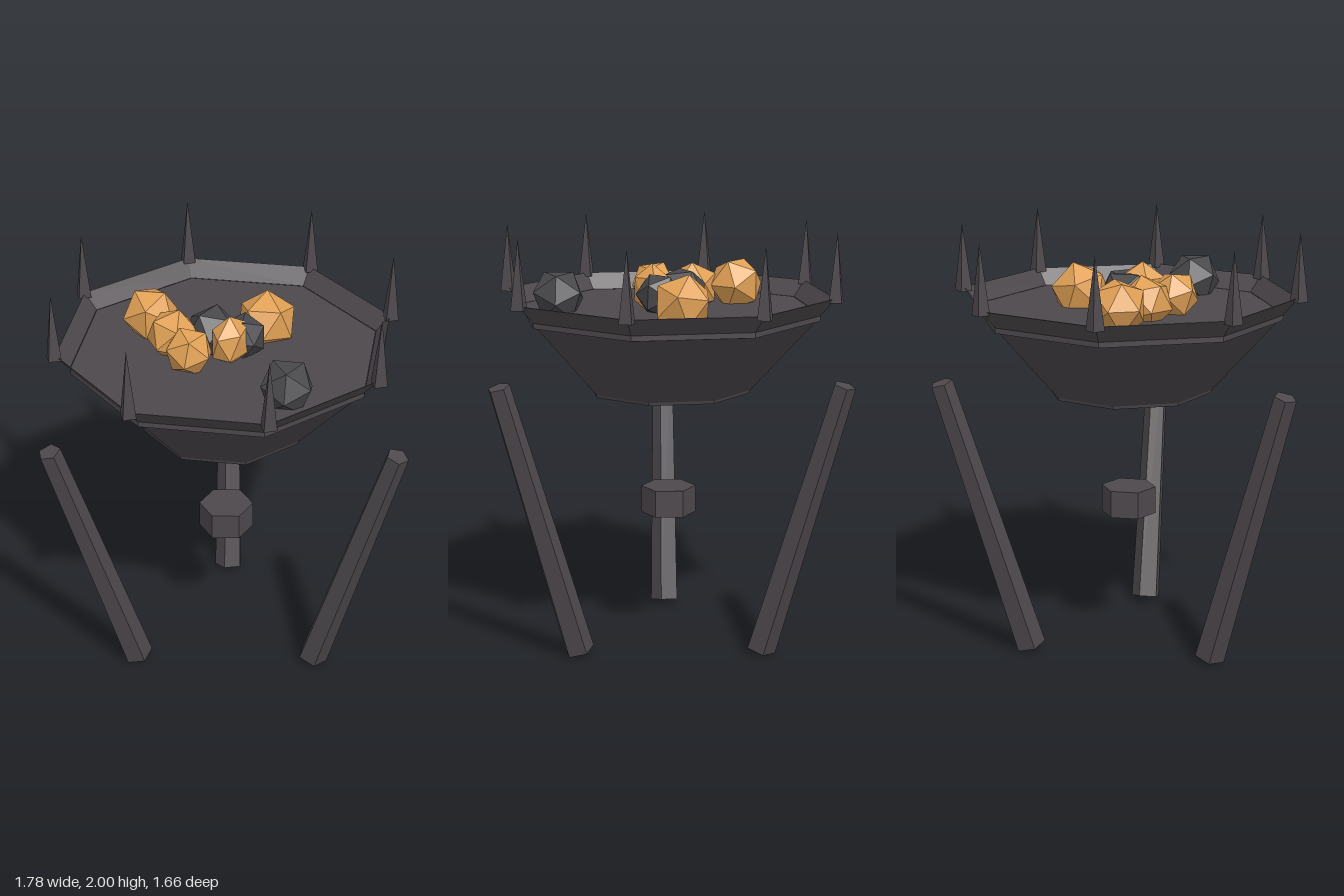
import * as THREE from 'three';

export function createModel() {
  const model = new THREE.Group();
  const mat = (name, color) => new THREE.MeshStandardMaterial({ name, color, flatShading: true });
  const iron = mat('dark iron', 0x4d484c);
  const coalGrey = mat('coal grey', 0x48474a);
  const emberOrange = mat('ember orange', 0xe0a055);

  const add = (parent, name, geometry, material, x = 0, y = 0, z = 0) => {
    const mesh = new THREE.Mesh(geometry, material);
    mesh.name = name;
    mesh.position.set(x, y, z);
    parent.add(mesh);
    return mesh;
  };
  // Eight-sided turned shape from [radius, y] pairs
  const turned = (pairs) => new THREE.LatheGeometry(pairs.map(([r, y]) => new THREE.Vector2(r, y)), 8);

  // Everything but the coals is arranged around the bowl's axis
  const brazier = new THREE.Group();
  brazier.name = 'brazier';
  brazier.position.x = -0.06;
  model.add(brazier);

  // Bowl, band with the fire bed on top, and flared rim
  add(brazier, 'bowl', turned([[0, 1.235], [0.39, 1.235], [0.395, 1.25], [0.7, 1.59]]), iron);
  add(brazier, 'bandAndFireBed', turned([[0.68, 1.59], [0.72, 1.59], [0.72, 1.62], [0, 1.62]]), iron);
  add(brazier, 'rim', turned([[0.72, 1.615], [0.787, 1.695], [0.785, 1.697], [0.722, 1.62]]), iron);

  // Spikes on the rim corners
  const spike = new THREE.ConeGeometry(0.042, 0.32, 4);
  for (let i = 0; i < 8; i++) {
    const a = (i * Math.PI) / 4;
    add(brazier, 'spike', spike, iron, 0.79 * Math.sin(a), 1.84, 0.79 * Math.cos(a));
  }

  // Three splayed, tapering five-sided legs
  const foot = new THREE.Vector3(0.5, 0.02, 0);
  const top = new THREE.Vector3(0.9, 1.34, 0);
  const axis = top.clone().sub(foot);
  const legGeometry = new THREE.CylinderGeometry(0.053, 0.073, axis.length(), 5);
  legGeometry.rotateY(Math.PI);
  for (let i = 0; i < 3; i++) {
    const pivot = new THREE.Group();
    pivot.name = 'legPivot';
    pivot.rotation.y = (i * Math.PI * 2) / 3;
    brazier.add(pivot);
    const leg = add(pivot, 'leg', legGeometry, iron);
    leg.position.copy(foot).add(top).multiplyScalar(0.5);
    leg.rotation.z = -Math.atan2(axis.x, axis.y);
  }

  // Hub between the legs
  add(brazier, 'hub', new THREE.CylinderGeometry(0.13, 0.13, 0.13, 6), iron, 0, 0.697, 0);

  // Coals: x, y, z, radius, width scale, glowing
  const lumps = [
    [-0.455, 1.705, 0.025, 0.135, 1, true],
    [-0.27, 1.695, 0.12, 0.125, 1, true],
    [-0.115, 1.705, 0.225, 0.115, 1, true],
    [0.015, 1.68, -0.24, 0.145, 1, true],
    [0, 1.71, 0.05, 0.125, 0.7, true],
    [-0.13, 1.69, 0, 0.13, 1, false],
    [0.015, 1.695, -0.035, 0.11, 1, false],
    [0.4, 1.69, 0.24, 0.13, 1, false],
  ];
  const coals = new THREE.Group();
  coals.name = 'coals';
  model.add(coals);
  lumps.forEach(([x, y, z, r, width, glowing], i) => {
    const geometry = new THREE.IcosahedronGeometry(r, 0);
    geometry.rotateX(i * 1.3).rotateY(i * 2.1 + 0.4).scale(width, 1, 1);
    add(coals, glowing ? 'glowingCoal' : 'darkCoal', geometry, glowing ? emberOrange : coalGrey, x, y, z);
  });

  return model;
}
